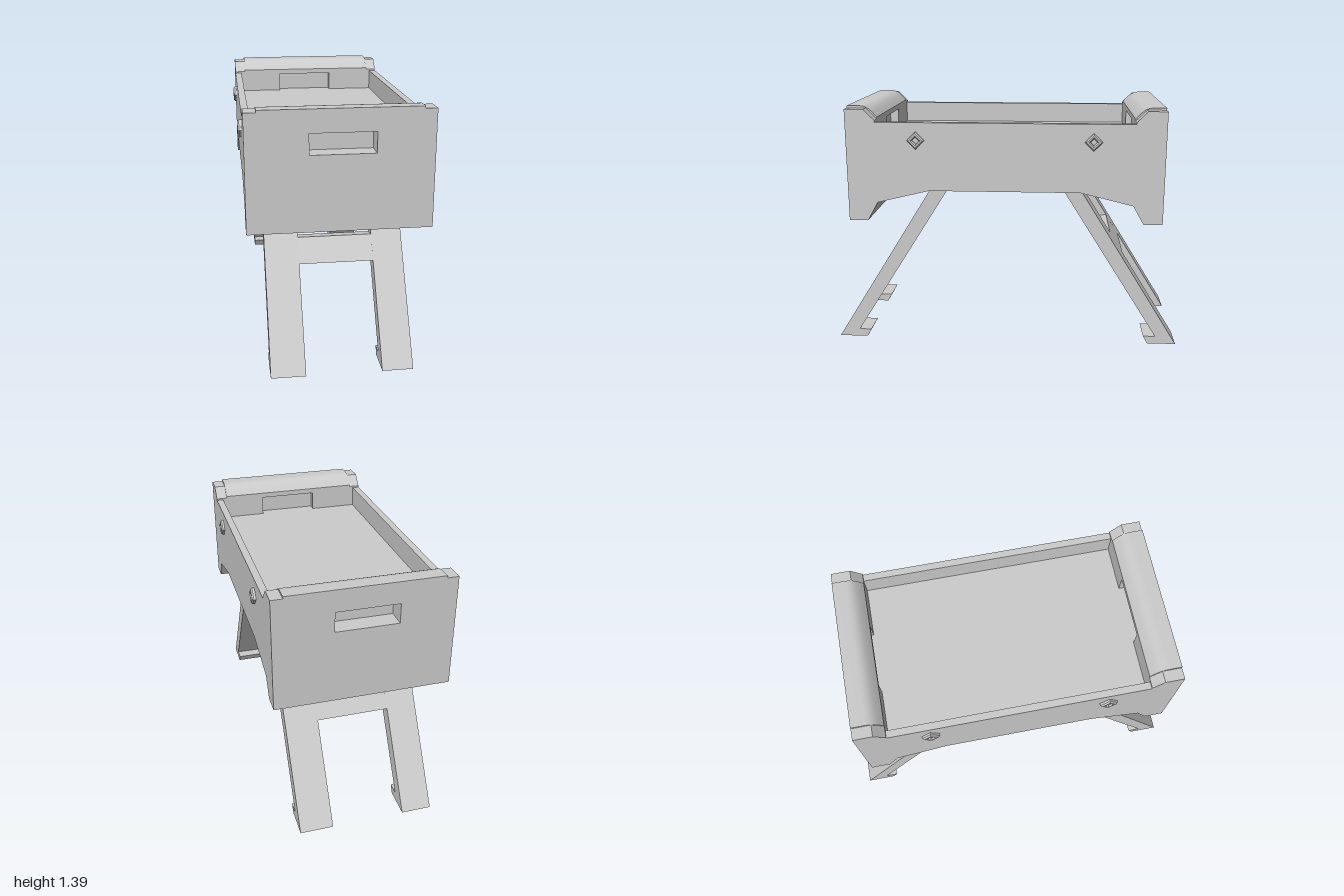
import * as THREE from 'three';
import { toCreasedNormals } from 'three/addons/utils/BufferGeometryUtils.js';

const material = new THREE.MeshStandardMaterial({ color: 0xcccccc });

function shapeOf(points) {
  return new THREE.Shape(points.map(([a, b]) => new THREE.Vector2(a, b)));
}

function add(parent, name, geometry) {
  const mesh = new THREE.Mesh(geometry, material);
  mesh.name = name;
  parent.add(mesh);
  return mesh;
}

// Extrudes a (z, y) outline across the width from x0 to x1.
function across(points, x0, x1) {
  const g = new THREE.ExtrudeGeometry(shapeOf(points), { depth: x1 - x0, bevelEnabled: false });
  g.rotateY(-Math.PI / 2);
  g.translate(x1, 0, 0);
  return g;
}

function box(x0, x1, y0, y1, z0, z1) {
  const g = new THREE.BoxGeometry(x1 - x0, y1 - y0, z1 - z0);
  g.translate((x0 + x1) / 2, (y0 + y1) / 2, (z0 + z1) / 2);
  return g;
}

const rect = (x0, x1, y0, y1) => [[x0, y0], [x1, y0], [x1, y1], [x0, y1]];

// Underside outline from back to front, shared by the sides and the base
const underside = [[-0.77, 0.755], [-0.71, 0.86], [-0.42, 0.93], [0.42, 0.93], [0.71, 0.86], [0.77, 0.755]];
const FLOOR = 1.19, RIM = 1.31;

function buildEnd() {
  const end = new THREE.Group();

  // Outer end board with a ball slot
  const board = shapeOf(rect(-0.48, 0.48, 0.755, 1.38));
  board.holes.push(shapeOf(rect(-0.16, 0.18, 1.16, 1.27)));
  const plate = new THREE.ExtrudeGeometry(board, { depth: 0.105, bevelEnabled: false });
  plate.translate(0, 0, 0.77);
  add(end, 'endBoard', plate);

  // Inner wall around the goal recess
  add(end, 'goalWall', box(-0.44, -0.16, FLOOR, RIM, 0.71, 0.77));
  add(end, 'goalWall', box(0.18, 0.44, FLOOR, RIM, 0.71, 0.77));
  add(end, 'goalLintel', box(-0.16, 0.18, 1.3, RIM, 0.71, 0.77));
  add(end, 'goalBack', box(-0.16, 0.18, FLOOR, 1.3, 0.76, 0.77));

  // Sloped shoulder and the rounded cap above it
  add(end, 'endShoulder', across([[0.71, RIM], [0.77, RIM], [0.77, 1.38], [0.71, 1.32]], -0.44, 0.44));
  const curve = new THREE.CubicBezierCurve(
    new THREE.Vector2(0.71, 1.33), new THREE.Vector2(0.745, 1.372),
    new THREE.Vector2(0.765, 1.392), new THREE.Vector2(0.81, 1.392));
  const top = curve.getPoints(10).map((p) => [p.x, p.y]).reverse();
  const cap = across([[0.71, RIM], [0.875, RIM], [0.875, 1.392], ...top], -0.417, 0.417);
  add(end, 'endCap', toCreasedNormals(cap, 0.5));
  return end;
}

function buildLegs() {
  const legs = new THREE.Group();

  // Slanted legs with an inward foot
  const profile = [[1, 0], [0.405, 0.955], [0.305, 0.955], [0.88, 0.045], [0.81, 0.045], [0.835, 0]];
  add(legs, 'leg', across(profile, -0.38, -0.195));
  add(legs, 'leg', across(profile, 0.21, 0.377));

  // Crossbar following the slope
  const outerZ = (y) => 1 - y * 0.6237;
  const bar = [[outerZ(0.5), 0.5], [outerZ(0.625), 0.625], [outerZ(0.625) - 0.08, 0.61], [outerZ(0.485) - 0.08, 0.485]];
  add(legs, 'crossbar', across(bar, -0.2, 0.215));
  return legs;
}

// Diamond shaped rod bushing with a hollow centre, facing +x
function buildBushing() {
  const diamond = (r) => [[r, 0], [0, r], [-r, 0], [0, -r]];
  const ring = shapeOf(diamond(0.04));
  ring.holes.push(shapeOf(diamond(0.028)));
  const g = new THREE.ExtrudeGeometry(ring, {
    depth: 0.012, bevelThickness: 0.008, bevelSize: 0.006, bevelSegments: 1,
  });
  g.rotateY(Math.PI / 2);
  return g;
}

export function createModel() {
  const model = new THREE.Group();
  model.name = 'gameTable';

  // Solid base carrying the playing field
  add(model, 'playfieldBase', across([...underside, [0.77, FLOOR], [-0.77, FLOOR]], -0.44, 0.44));

  // Side walls with raised ends
  const wall = [...underside, [0.77, 1.38], [0.71, 1.32], [0.71, RIM], [-0.71, RIM], [-0.71, 1.32], [-0.77, 1.38]];
  for (const [x0, x1] of [[-0.48, -0.44], [0.44, 0.48]]) {
    add(model, 'sideWall', across(wall, x0, x1));
  }

  // Both ends; the second is the first turned half round
  for (const turn of [0, Math.PI]) {
    const side = turn ? 'back' : 'front';
    const end = buildEnd();
    end.name = side + 'End';
    const legs = buildLegs();
    legs.name = side + 'Legs';
    for (const part of [end, legs]) {
      part.rotation.y = turn;
      model.add(part);
    }
  }

  // Two bushings on each side wall
  for (const s of [-1, 1]) {
    for (const z of [-0.485, 0.485]) {
      const bushing = add(model, 'rodBushing', buildBushing());
      bushing.position.set(s * 0.48, 1.213, z);
      bushing.rotation.y = s < 0 ? Math.PI : 0;
    }
  }
  return model;
}
